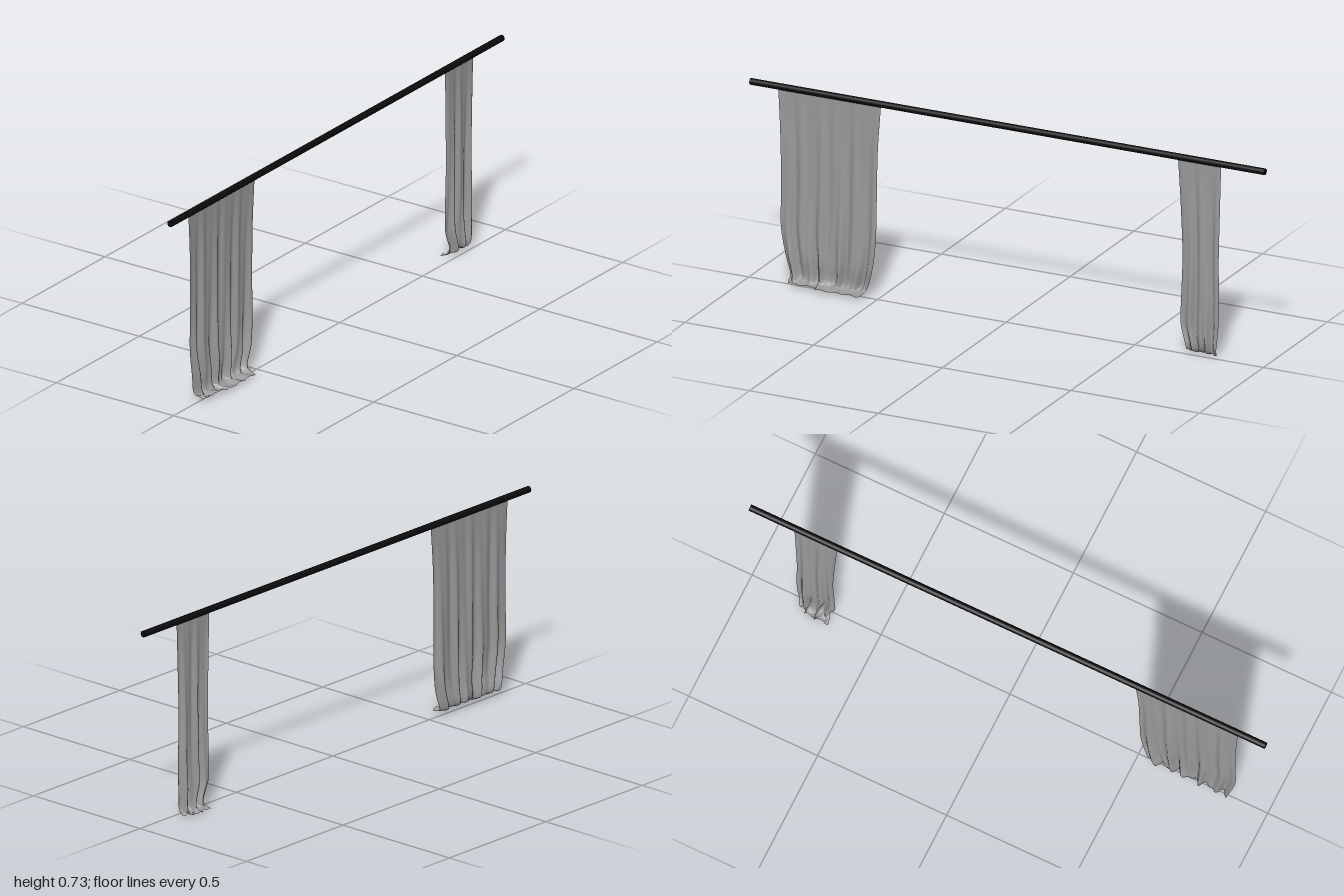
import * as THREE from 'three';

const clothMat = new THREE.MeshStandardMaterial({ color: 0x9a9a9a, side: THREE.DoubleSide });
clothMat.name = 'grey cloth';
const rodMat = new THREE.MeshStandardMaterial({ color: 0x0b0b0b });
rodMat.name = 'black rod';

const ROD_X = -0.015, ROD_Y = 0.723;

// Cloth panel: rows run down the drop and then out over the floor.
// keys: [x, y, zStart, zEnd, fold depth]; fold(u) gives -1..1; reach(u) scales the floor part.
function makeCurtain(name, keys, poolFrom, cols, fold, reach) {
  const edge = (i) => new THREE.CatmullRomCurve3(
    keys.map((k) => new THREE.Vector3(k[0], k[1], k[i])), false, 'centripetal');
  const start = edge(2), end = edge(3);
  const steps = 6, rows = (keys.length - 1) * steps;
  const geo = new THREE.PlaneGeometry(1, 1, cols, rows);
  const pos = geo.attributes.position;
  for (let r = 0; r <= rows; r++) {
    const t = r / rows, a = start.getPoint(t), b = end.getPoint(t);
    const k = Math.min(Math.floor(r / steps), keys.length - 2);
    const depth = THREE.MathUtils.lerp(keys[k][4], keys[k + 1][4], r / steps - k);
    const pool = Math.max(0, r / steps - poolFrom);
    const baseX = keys[poolFrom][0];
    for (let c = 0; c <= cols; c++) {
      const u = c / cols;
      const p = new THREE.Vector3().lerpVectors(a, b, u);
      if (pool > 0) {
        // crumpled hem lying on the floor
        p.x = baseX + (p.x - baseX) * reach(u);
        p.y += 0.005 * Math.min(pool, 1) * (1 + Math.sin(u * 31 + pool * 2.5)) * 0.6;
      }
      p.x += depth * fold(u, t);
      // gathers drift sideways near the bottom
      p.z += 0.006 * t * t * Math.sin(u * 19 + t * 5) * Math.sin(Math.PI * u);
      pos.setXYZ(r * (cols + 1) + c, p.x, p.y, p.z);
    }
  }
  geo.computeVertexNormals();
  const mesh = new THREE.Mesh(geo, clothMat);
  mesh.name = name;
  return mesh;
}

export function createModel() {
  const model = new THREE.Group();
  model.name = 'curtainRodWithCurtains';

  // Rod along z
  const rod = new THREE.Mesh(new THREE.CylinderGeometry(0.0117, 0.0117, 2, 32), rodMat);
  rod.name = 'rod';
  rod.rotation.x = Math.PI / 2;
  rod.position.set(ROD_X, ROD_Y, 0);
  model.add(rod);

  // Wide curtain, hem trailing towards +x
  model.add(makeCurtain('wideCurtain', [
    [-0.014, 0.718, 0.493, 0.892, 0.001],
    [-0.015, 0.55, 0.505, 0.884, 0.005],
    [-0.015, 0.35, 0.509, 0.881, 0.007],
    [-0.013, 0.2, 0.512, 0.882, 0.010],
    [-0.011, 0.1, 0.524, 0.865, 0.014],
    [-0.010, 0.025, 0.545, 0.848, 0.014],
    [0.012, 0.012, 0.55, 0.846, 0.006],
    [0.044, 0.01, 0.56, 0.84, 0.003],
  ], 5, 72,
  (u, t) => 0.6 * Math.sin(u * 34 + t * 2) + 0.4 * Math.sin(u * 57 - t * 3 + 1),
  (u) => (u < 0.62 ? 1 : 0.68) * (0.72 + 0.28 * Math.abs(Math.sin(u * 15.5 + 0.6)))));

  // Narrow curtain, hem trailing towards -x
  model.add(makeCurtain('narrowCurtain', [
    [-0.016, 0.718, -0.828, -0.66, 0.001],
    [-0.017, 0.55, -0.823, -0.668, 0.005],
    [-0.018, 0.35, -0.818, -0.674, 0.008],
    [-0.018, 0.2, -0.82, -0.669, 0.010],
    [-0.018, 0.1, -0.817, -0.668, 0.013],
    [-0.017, 0.02, -0.81, -0.69, 0.014],
    [-0.03, 0.003, -0.808, -0.685, 0.005],
    [-0.052, 0.0, -0.8, -0.682, 0.002],
  ], 5, 40,
  (u, t) => 0.65 * Math.sin(u * 17 + t * 2) + 0.35 * Math.sin(u * 29 - t * 2),
  (u) => (u > 0.2 ? 1 : 0.45) * (0.9 + 0.1 * Math.sin(u * 14))));

  return model;
}
